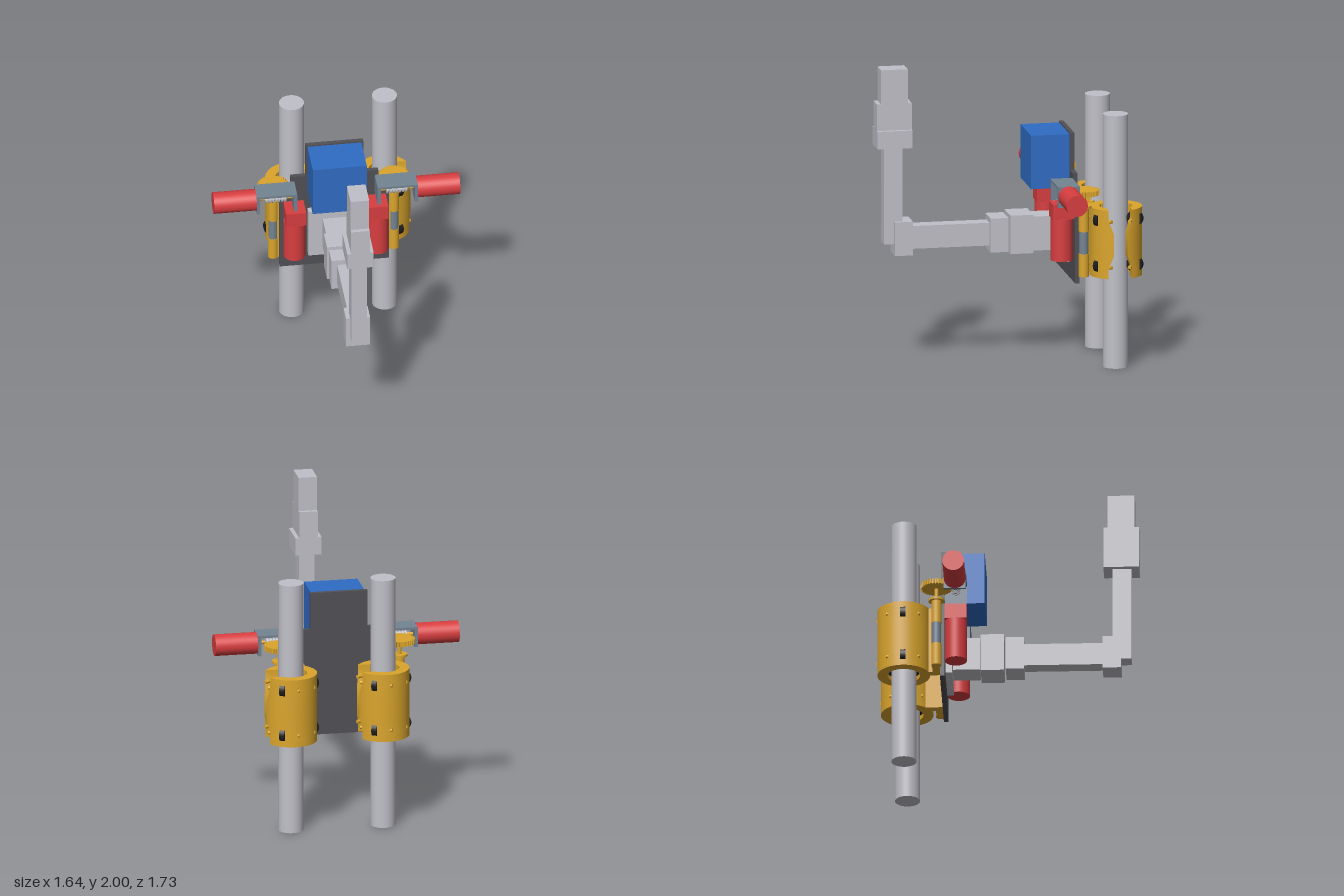
import * as THREE from 'three';
import { toCreasedNormals } from 'three/addons/utils/BufferGeometryUtils.js';

const paint = (name, color) => {
  const m = new THREE.MeshStandardMaterial({ color });
  m.name = name;
  return m;
};

export function createModel() {
  const root = new THREE.Group();
  root.name = 'poleClimbingRobot';
  const silver = paint('silver', 0xc0c0c8), gold = paint('gold', 0xdaa52c), red = paint('red', 0xd83e40);
  const blue = paint('blue', 0x306cc4), dark = paint('darkGrey', 0x505056);
  const steel = paint('steel', 0x748492), black = paint('black', 0x1e1e20);

  const add = (name, geo, mat, x = 0, y = 0, z = 0, parent = root) => {
    const m = new THREE.Mesh(geo, mat);
    m.name = name;
    m.position.set(x, y, z);
    parent.add(m);
    return m;
  };
  // box from min/max extents
  const box = (name, mat, x0, x1, y0, y1, z0, z1, parent = root) =>
    add(name, new THREE.BoxGeometry(Math.abs(x1 - x0), y1 - y0, z1 - z0), mat,
      (x0 + x1) / 2, (y0 + y1) / 2, (z0 + z1) / 2, parent);
  const rod = (name, mat, r, y0, y1, x, z, parent = root) =>
    add(name, new THREE.CylinderGeometry(r, r, y1 - y0, 40), mat, x, (y0 + y1) / 2, z, parent);
  const rodX = (name, mat, r, x0, x1, y, z, parent = root) => {
    const m = add(name, new THREE.CylinderGeometry(r, r, Math.abs(x1 - x0), 32), mat, (x0 + x1) / 2, y, z, parent);
    m.rotation.z = Math.PI / 2;
    return m;
  };

  // stepped back plate
  const outline = [[0.365, 0.57], [0.365, 1.145], [0.293, 1.145], [0.293, 1.3], [0.193, 1.3], [0.193, 1.55]];
  const pts = [...outline, ...outline.map(([x, y]) => [-x, y]).reverse()].map(([x, y]) => new THREE.Vector2(x, y));
  add('backPlate', new THREE.ExtrudeGeometry(new THREE.Shape(pts), { depth: 0.03, bevelEnabled: false }),
    dark, 0, 0, -0.445);
  box('controlBox', blue, -0.18, 0.18, 1.178, 1.54, -0.415, -0.155);

  // manipulator arm: half width, y range, z range
  const arm = [
    ['armMount', 0.18, 0.675, 1.035, -0.415, -0.37],
    ['armBase', 0.085, 0.74, 0.97, -0.37, -0.19],
    ['shoulderJoint', 0.102, 0.727, 0.987, -0.185, -0.03],
    ['shoulderCollar', 0.09, 0.74, 0.97, -0.02, 0.1],
    ['lowerArm', 0.052, 0.78, 0.934, 0.1, 0.62],
    ['elbow', 0.08, 0.742, 0.97, 0.62, 0.742],
    ['upperArm', 0.052, 0.817, 1.47, 0.685, 0.81],
    ['wristCollar', 0.088, 1.47, 1.59, 0.625, 0.86],
    ['wrist', 0.062, 1.59, 1.77, 0.625, 0.86],
    ['armTip', 0.062, 1.77, 2.0, 0.652, 0.832],
  ];
  for (const [name, w, y0, y1, z0, z1] of arm) box(name, silver, -w, w, y0, y1, z0, z1);

  // toothed wheel lying flat
  const teeth = 30, gearPts = [];
  for (let i = 0; i < teeth; i++) {
    [[0, 0.094], [0.25, 0.104], [0.6, 0.104], [0.75, 0.094]].forEach(([f, r]) => {
      const a = ((i + f) / teeth) * Math.PI * 2;
      gearPts.push(new THREE.Vector2(r * Math.cos(a), r * Math.sin(a)));
    });
  }
  const gearGeo = new THREE.ExtrudeGeometry(new THREE.Shape(gearPts), { depth: 0.034, bevelEnabled: false });
  gearGeo.rotateX(-Math.PI / 2);

  // C-shaped sleeve whose slot widens at both ends: [y, half slot width]
  const levels = [[0.625, 0.08], [0.69, 0.08], [0.78, 0.046], [0.93, 0.046], [1.02, 0.08], [1.088, 0.08]];
  const N = 60, R = 0.174, r = 0.108, pos = [];
  const p = (rad, i, k) => {
    const [y, h] = levels[k], a = Math.asin(h / rad), t = a + (2 * Math.PI - 2 * a) * i / N;
    return [rad * Math.cos(t), y, rad * Math.sin(t)];
  };
  const quad = (a, b, c, d) => pos.push(...a, ...b, ...c, ...a, ...c, ...d);
  const last = levels.length - 1;
  for (let k = 0; k < last; k++) {
    for (let i = 0; i < N; i++) {
      quad(p(R, i, k), p(R, i, k + 1), p(R, i + 1, k + 1), p(R, i + 1, k));
      quad(p(r, i, k), p(r, i + 1, k), p(r, i + 1, k + 1), p(r, i, k + 1));
    }
    quad(p(r, 0, k), p(r, 0, k + 1), p(R, 0, k + 1), p(R, 0, k));
    quad(p(r, N, k), p(R, N, k), p(R, N, k + 1), p(r, N, k + 1));
  }
  for (let i = 0; i < N; i++) {
    quad(p(R, i, last), p(r, i, last), p(r, i + 1, last), p(R, i + 1, last));
    quad(p(R, i, 0), p(R, i + 1, 0), p(r, i + 1, 0), p(r, i, 0));
  }
  let sleeve = new THREE.BufferGeometry();
  sleeve.setAttribute('position', new THREE.Float32BufferAttribute(pos, 3));
  sleeve = toCreasedNormals(sleeve, 0.5);

  // poles with clamps; both slots open toward +x
  for (const x of [-0.25, 0.37]) {
    rod('pole', silver, 0.083, 0, 1.71, x, -0.686);
    const clamp = new THREE.Group();
    clamp.name = 'clamp';
    clamp.position.set(x, 0, -0.688);
    root.add(clamp);
    add('clampSleeve', sleeve, gold, 0, 0, 0, clamp);
    // guide rollers with axles tangent to the sleeve
    for (const y of [0.702, 1.012]) {
      for (const a of [Math.PI / 3, Math.PI, -Math.PI / 3]) {
        for (const [name, mat, rad, len] of [['roller', black, 0.054, 0.036], ['rollerAxle', gold, 0.012, 0.222]]) {
          const geo = new THREE.CylinderGeometry(rad, rad, len, 28);
          geo.rotateX(Math.PI / 2);
          const m = add(name, geo, mat, 0.133 * Math.cos(a), y, 0.133 * Math.sin(a), clamp);
          m.rotation.y = -a;
        }
      }
    }
  }

  // drive on each side: hinge, gear, worm, motors
  for (const s of [1, -1]) {
    const side = new THREE.Group();
    side.name = s > 0 ? 'leftDrive' : 'rightDrive';
    root.add(side);
    const hx = s * 0.403, hz = -0.466;

    // hinge and arm to the clamp
    rod('hingeLower', gold, 0.034, 0.625, 0.78, hx, hz, side);
    rod('hingeMiddle', steel, 0.031, 0.78, 0.93, hx, hz, side);
    rod('hingeUpper', gold, 0.034, 0.93, 1.09, hx, hz, side);
    rod('hingeCap', gold, 0.052, 1.09, 1.105, hx, hz, side);
    box('hingeLeaf', gold, s * 0.25, s * 0.395, 0.625, 1.088, -0.495, -0.447, side);
    box('clampArm', gold, s * 0.25, s * 0.305, 0.625, 1.088, s > 0 ? -0.61 : -0.53, -0.47, side);
    rod('gearShaft', gold, 0.014, 1.1, 1.19, hx, hz, side);
    add('wormWheel', gearGeo, gold, hx, 1.18, hz, side);

    // worm in its bracket
    rodX('wormShaft', gold, 0.012, s * 0.28, s * 0.52, 1.197, -0.34, side);
    rodX('wormCore', silver, 0.02, s * 0.335, s * 0.475, 1.197, -0.34, side);
    for (let i = 0; i < 7; i++) {
      const x = 0.335 + i * 0.0205;
      rodX('wormThread', silver, 0.031, s * x, s * (x + 0.012), 1.197, -0.34, side);
    }
    box('bracketTop', steel, s * 0.268, s * 0.536, 1.248, 1.264, -0.414, -0.268, side);
    box('bracketOuterWall', steel, s * 0.516, s * 0.536, 1.125, 1.248, -0.414, -0.268, side);
    box('bracketInnerWall', steel, s * 0.268, s * 0.29, 1.125, 1.248, -0.414, -0.268, side);

    // motors
    rodX('sideMotor', red, 0.072, s * 0.536, s * 0.82, 1.196, -0.34, side);
    rod('uprightMotor', red, 0.073, 0.715, 1.0, s * 0.277, -0.342, side);
    box('motorHead', red, s * 0.207, s * 0.341, 1.0, 1.103, -0.415, -0.27, side);
  }
  return root;
}
